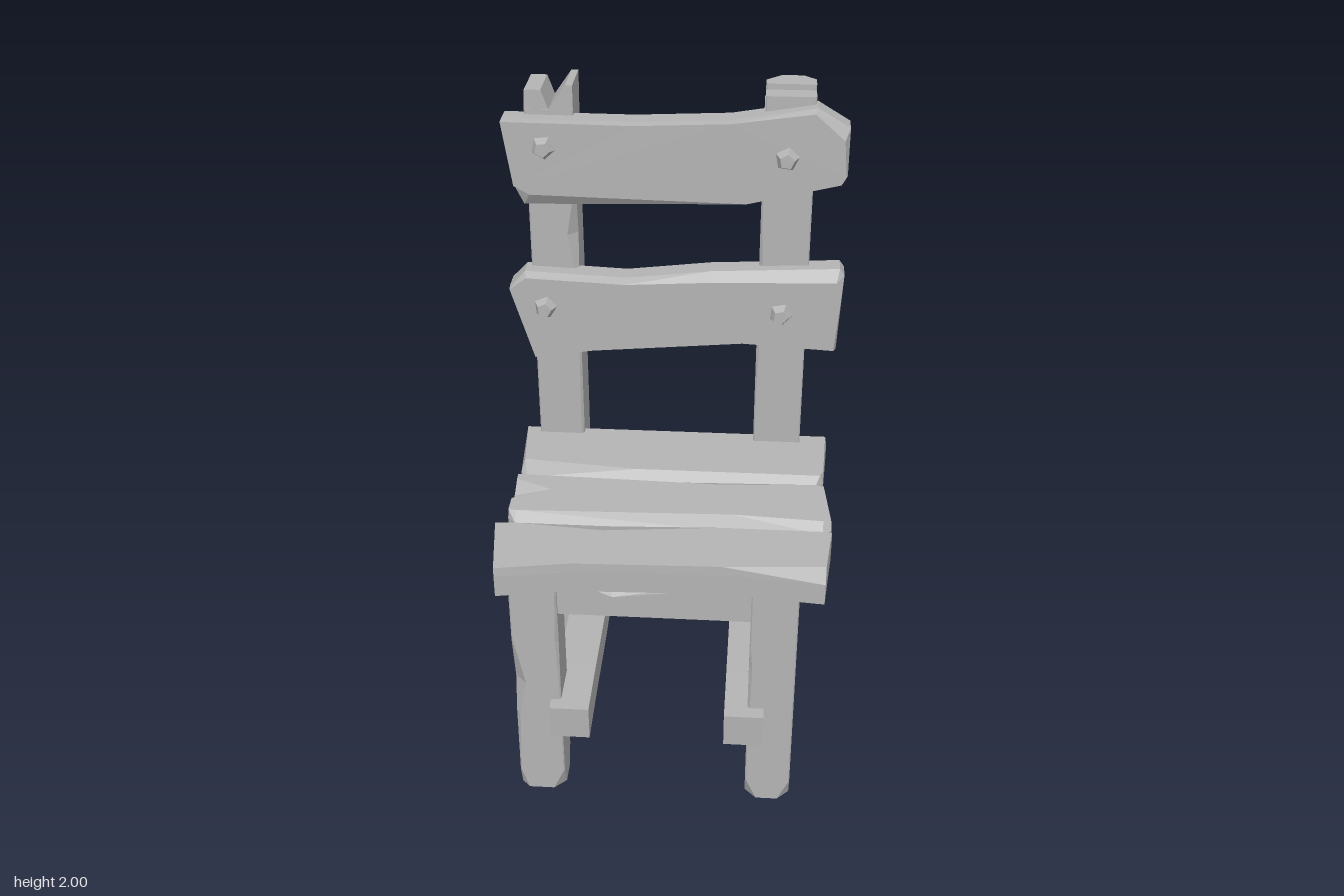
import * as THREE from 'three';

const wood = new THREE.MeshStandardMaterial({ color: 0xb4b4b4, flatShading: true });
wood.name = 'plain wood';

// Loft through layers [w, outline]; outlines are matching (u, v) point lists.
// axis 'z': u=x, v=y, w=z   axis 'y': u=x, v=z, w=y   axis 'x': u=z, v=y, w=x
function prism(name, layers, axis = 'z') {
  const place = {
    z: (u, v, w) => [u, v, w],
    y: (u, v, w) => [u, w, v],
    x: (u, v, w) => [w, v, u],
  }[axis];
  const rings = layers.map(([w, pts]) => ({ w, pts: pts.map(([u, v]) => new THREE.Vector2(u, v)) }));
  if (THREE.ShapeUtils.isClockWise(rings[0].pts)) rings.forEach((r) => r.pts.reverse());
  const out = [];
  const tri = (a, b, c) => {
    // the 'y' and 'x' placements mirror space, so their winding is swapped
    for (const p of axis === 'z' ? [a, b, c] : [a, c, b]) out.push(...place(...p));
  };
  const at = (r, i) => [r.pts[i].x, r.pts[i].y, r.w];
  const n = rings[0].pts.length;
  for (let k = 0; k + 1 < rings.length; k++) {
    for (let i = 0; i < n; i++) {
      const j = (i + 1) % n, a = rings[k], b = rings[k + 1];
      tri(at(a, i), at(a, j), at(b, j));
      tri(at(a, i), at(b, j), at(b, i));
    }
  }
  const first = rings[0], last = rings[rings.length - 1];
  for (const [a, b, c] of THREE.ShapeUtils.triangulateShape(first.pts, [])) tri(at(first, a), at(first, c), at(first, b));
  for (const [a, b, c] of THREE.ShapeUtils.triangulateShape(last.pts, [])) tri(at(last, a), at(last, b), at(last, c));
  const geo = new THREE.BufferGeometry();
  geo.setAttribute('position', new THREE.Float32BufferAttribute(out, 3));
  geo.computeVertexNormals();
  const mesh = new THREE.Mesh(geo, wood);
  mesh.name = name;
  return mesh;
}

// Rectangle with each corner chipped: order is back -x, back +x, front +x, front -x
function chipped(x0, x1, z0, z1, [a, b, c, d]) {
  return [[x0, z0 + a], [x0 + a, z0], [x1 - b, z0], [x1, z0 + b],
    [x1, z1 - c], [x1 - c, z1], [x0 + d, z1], [x0, z1 - d]];
}

// Upright timber from a list of [height, corner chips]
const upright = (name, [x0, x1, z0, z1], cuts) =>
  prism(name, cuts.map(([y, c]) => [y, chipped(x0, x1, z0, z1, c)]), 'y');

// Seat board: straight sides, then a bevel up to the top outline
const board = (name, low, top) => prism(name, [[0.775, low], [0.842, low], [0.87, top]], 'y');

export function createModel() {
  const chair = new THREE.Group();
  chair.name = 'chair';
  const add = (...m) => chair.add(...m);
  const s = 0.004;

  // Rear posts
  add(upright('rearPostRight', [-0.435, -0.295, -0.42, -0.275], [
    [0, [0.03, 0.035, 0.035, 0.02]], [0.08, [s, s, s, s]], [0.45, [s, 0.012, s, s]],
    [0.95, [0.012, s, 0.008, s]], [1.4, [s, s, s, s]], [1.55, [s, 0.01, 0.03, s]],
    [1.7, [s, s, s, s]], [1.93, [0.012, s, s, s]]]));
  add(upright('rearPostLeft', [0.242, 0.388, -0.412, -0.265], [
    [0, [0.02, 0.035, 0.04, 0.02]], [0.08, [s, s, s, s]], [0.6, [0.015, s, s, s]],
    [1.0, [s, 0.016, s, s]], [1.35, [s, s, s, 0.012]], [1.7, [0.012, s, s, s]], [1.94, [s, s, s, s]]]));

  // Split tips of the posts
  const tipA = [[-0.435, 1.93], [-0.365, 1.93], [-0.385, 1.985], [-0.432, 1.985]];
  const tipB = [[-0.365, 1.93], [-0.295, 1.93], [-0.295, 2], [-0.315, 2]];
  add(prism('rightPostTipOuter', [[-0.418, tipA], [-0.277, tipA]]));
  add(prism('rightPostTipInner', [[-0.42, tipB], [-0.275, tipB]]));
  add(upright('leftPostTipFront', [0.244, 0.386, -0.325, -0.266], [[1.94, [s, s, s, s]], [1.985, [s, s, s, s]]]));
  add(upright('leftPostTipBack', [0.244, 0.386, -0.411, -0.33], [[1.94, [s, s, s, s]], [2, [0.045, 0.035, s, s]]]));

  // Front legs
  add(upright('frontLegRight', [-0.435, -0.298, 0.28, 0.415], [
    [0, [0.03, 0.035, 0.035, 0.025]], [0.07, [s, s, s, s]], [0.3, [s, s, s, 0.012]],
    [0.42, [0.012, s, s, 0.035]], [0.58, [s, s, 0.01, s]], [0.78, [s, s, s, s]]]));
  add(upright('frontLegLeft', [0.255, 0.39, 0.28, 0.415], [
    [0, [0.02, 0.02, 0.035, 0.035]], [0.07, [s, s, s, s]], [0.2, [s, s, s, s]],
    [0.51, [s, 0.045, s, 0.01]], [0.58, [s, s, s, s]], [0.78, [s, s, s, s]]]));

  // Seat boards
  add(board('seatBoardBack',
    [[-0.485, -0.305], [0.475, -0.305], [0.46, -0.075], [0.435, -0.05], [-0.445, -0.05], [-0.468, -0.075]],
    [[-0.48, -0.305], [0.47, -0.305], [0.46, -0.1], [0.45, -0.075], [-0.11, -0.075], [-0.46, -0.11]]));
  add(board('seatBoardMiddle',
    [[-0.47, -0.025], [-0.445, -0.05], [0, -0.05], [0.435, -0.05], [0.46, -0.025], [0.48, 0.175],
      [0.455, 0.197], [0.19, 0.197], [-0.445, 0.197], [-0.468, 0.175], [-0.468, 0.11], [-0.468, 0.055], [-0.468, 0.005]],
    [[-0.468, -0.02], [-0.445, -0.022], [0.15, -0.005], [0.435, -0.022], [0.46, -0.015], [0.478, 0.165],
      [0.455, 0.168], [0.19, 0.152], [-0.445, 0.172], [-0.467, 0.168], [-0.467, 0.11], [-0.355, 0.055], [-0.467, 0.005]]));
  add(board('seatBoardFront',
    [[-0.495, 0.235], [-0.44, 0.197], [-0.18, 0.197], [0.16, 0.197], [0.455, 0.197], [0.48, 0.22],
      [0.458, 0.438], [0.17, 0.412], [-0.25, 0.425], [-0.462, 0.463]],
    [[-0.494, 0.24], [-0.44, 0.236], [-0.18, 0.258], [0.16, 0.222], [0.455, 0.222], [0.478, 0.227],
      [0.46, 0.39], [0.17, 0.411], [-0.25, 0.424], [-0.462, 0.461]]));

  // Back slats: front face slightly trimmed at the ends
  const slat = (name, back, front) => add(prism(name, [[-0.298, back], [-0.235, back], [-0.21, front]]));
  slat('upperBackSlat',
    [[-0.493, 1.915], [-0.468, 1.72], [-0.44, 1.662], [0.21, 1.682], [0.47, 1.748], [0.482, 1.77],
      [0.482, 1.91], [0.39, 1.965], [0.15, 1.925], [-0.12, 1.913]],
    [[-0.493, 1.913], [-0.465, 1.725], [-0.42, 1.7], [0.2, 1.688], [0.465, 1.752], [0.478, 1.775],
      [0.468, 1.88], [0.383, 1.955], [0.15, 1.922], [-0.12, 1.91]]);
  slat('lowerBackSlat',
    [[-0.497, 1.402], [-0.43, 1.172], [-0.25, 1.2], [0.2, 1.24], [0.48, 1.222], [0.492, 1.465],
      [0.478, 1.485], [0.1, 1.466], [-0.15, 1.437], [-0.45, 1.45]],
    [[-0.495, 1.4], [-0.428, 1.175], [-0.25, 1.203], [0.2, 1.243], [0.472, 1.228], [0.485, 1.39],
      [0.47, 1.45], [0.1, 1.44], [-0.15, 1.425], [-0.445, 1.437]]);

  // Five-sided pegs
  for (const [x, y, turn] of [[-0.375, 1.842, 0.1], [0.31, 1.825, 0.5], [-0.39, 1.345, 0.4], [0.31, 1.345, 0.2]]) {
    const peg = new THREE.Mesh(new THREE.CylinderGeometry(0.022, 0.037, 0.028, 5), wood);
    peg.name = 'slatPeg';
    peg.rotation.set(Math.PI / 2, turn, 0);
    peg.position.set(x, y, -0.199);
    add(peg);
  }

  // Rails under the seat
  const rail = [[-0.32, 0.672], [0.3, 0.672], [0.3, 0.776], [0.12, 0.776], [-0.14, 0.776], [-0.22, 0.776], [-0.32, 0.776]];
  const worn = rail.map(([x, y]) => [x, x === -0.14 ? 0.74 : y]);
  add(prism('frontRail', [[0.3, rail], [0.375, rail], [0.4, worn]]));
  add(prism('rearRail', [[-0.4, worn], [-0.375, rail], [-0.3, rail]]));
  const sideRail = [[-0.3, 0.672], [-0.12, 0.674], [0.04, 0.69], [0.2, 0.674], [0.3, 0.672], [0.3, 0.776], [-0.3, 0.776]];
  for (const x of [-0.365, 0.315]) add(prism('sideRail', [[x - 0.05, sideRail], [x + 0.05, sideRail]], 'x'));

  // Low stretchers
  const side = [[-0.44, 0.25], [-0.25, 0.262], [0, 0.252], [0.25, 0.256], [0.452, 0.25],
    [0.456, 0.362], [0.25, 0.362], [0, 0.354], [-0.25, 0.36], [-0.46, 0.362]];
  for (const x of [-0.27, 0.245]) add(prism('sideStretcher', [[x - 0.058, side], [x + 0.058, side]], 'x'));
  const cross = [[-0.475, 0.332], [-0.36, 0.335], [-0.2, 0.345], [0.2, 0.336], [0.445, 0.332],
    [0.445, 0.445], [0.25, 0.445], [0, 0.44], [-0.3, 0.436], [-0.455, 0.446]];
  const crossFront = cross.map(([x, y]) => [x, x === 0.445 && y > 0.4 ? 0.408 : y]);
  add(prism('rearStretcher', [[-0.278, cross], [-0.2, cross], [-0.16, crossFront]]));

  return chair;
}
